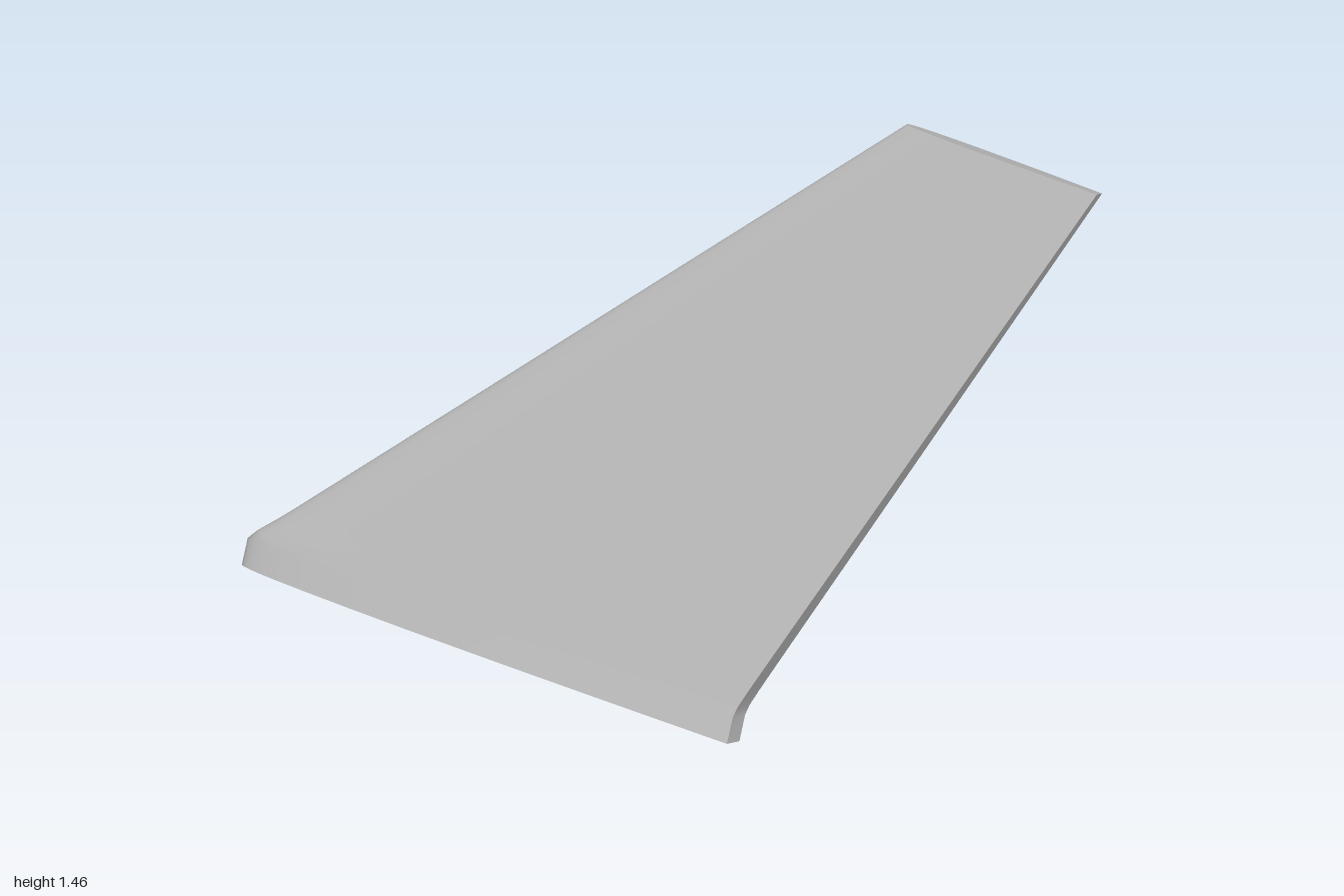
import * as THREE from 'three';

// Half thickness along the chord: [chord fraction, fraction of the maximum], nose to blunt tail
const PROFILE = [
  [0, 0], [0.001, 0.1], [0.004, 0.2], [0.01, 0.31], [0.02, 0.42], [0.04, 0.55], [0.08, 0.7],
  [0.14, 0.82], [0.22, 0.92], [0.32, 0.98], [0.42, 1], [0.55, 0.97], [0.7, 0.89], [0.85, 0.77], [1, 0.62],
];

// Span stations: [distance along span, leading x, trailing x]
const STATIONS = [
  [0, -1, 0.365], [0.065, -1, 0.365], [0.09, -0.98, 0.371], [0.13, -0.937, 0.387],
  [0.17, -0.896, 0.404], [0.63, -0.441, 0.603], [1.09, 0.013, 0.802], [1.547, 0.465, 1],
];

const ROOT = new THREE.Vector3(0, 0.018, 0.277);
const SPAN = new THREE.Vector3(0, 0.927, -0.374);
const NORMAL = new THREE.Vector3(0, 0.374, 0.927);

// Point on one face of the fin (side +1 is the front face, -1 the back)
function surfacePoint([s, lead, trail], [t, h], side) {
  const half = THREE.MathUtils.lerp(0.046, 0.019, s / 1.547) * h;
  const p = ROOT.clone().addScaledVector(SPAN, s).addScaledVector(NORMAL, side * half);
  p.x = THREE.MathUtils.lerp(lead, trail, t);
  return p;
}

// Joins equal rows of points into a smooth surface
function loft(rows) {
  const n = rows[0].length;
  const index = [];
  for (let j = 0; j < rows.length - 1; j++) {
    for (let i = 0; i < n - 1; i++) {
      const a = j * n + i, b = a + 1, d = a + n, c = d + 1;
      index.push(b, a, d, b, d, c);
    }
  }
  const geometry = new THREE.BufferGeometry().setFromPoints(rows.flat());
  geometry.setIndex(index);
  geometry.computeVertexNormals();
  return geometry;
}

export function createModel() {
  const group = new THREE.Group();
  group.name = 'fin';
  const paint = new THREE.MeshStandardMaterial({ color: 0xc0c0c0 });
  paint.name = 'light grey';

  const add = (name, rows) => {
    const mesh = new THREE.Mesh(loft(rows), paint);
    mesh.name = name;
    group.add(mesh);
  };

  const tailFirst = [...PROFILE].reverse();
  const face = (station, side) => tailFirst.map((p) => surfacePoint(station, p, side));

  // Skin: front face, around the nose, and back along the rear face
  add('skin', STATIONS.map((st) => [...face(st, 1), ...face(st, -1).reverse().slice(1)]));

  // Blunt trailing edge
  const tail = PROFILE[PROFILE.length - 1];
  add('trailingEdge', STATIONS.map((st) => [surfacePoint(st, tail, -1), surfacePoint(st, tail, 1)]));

  // Flat ends
  const root = STATIONS[0], tip = STATIONS[STATIONS.length - 1];
  add('rootCap', [face(root, -1), face(root, 1)]);
  add('tipCap', [face(tip, 1), face(tip, -1)]);

  return group;
}
